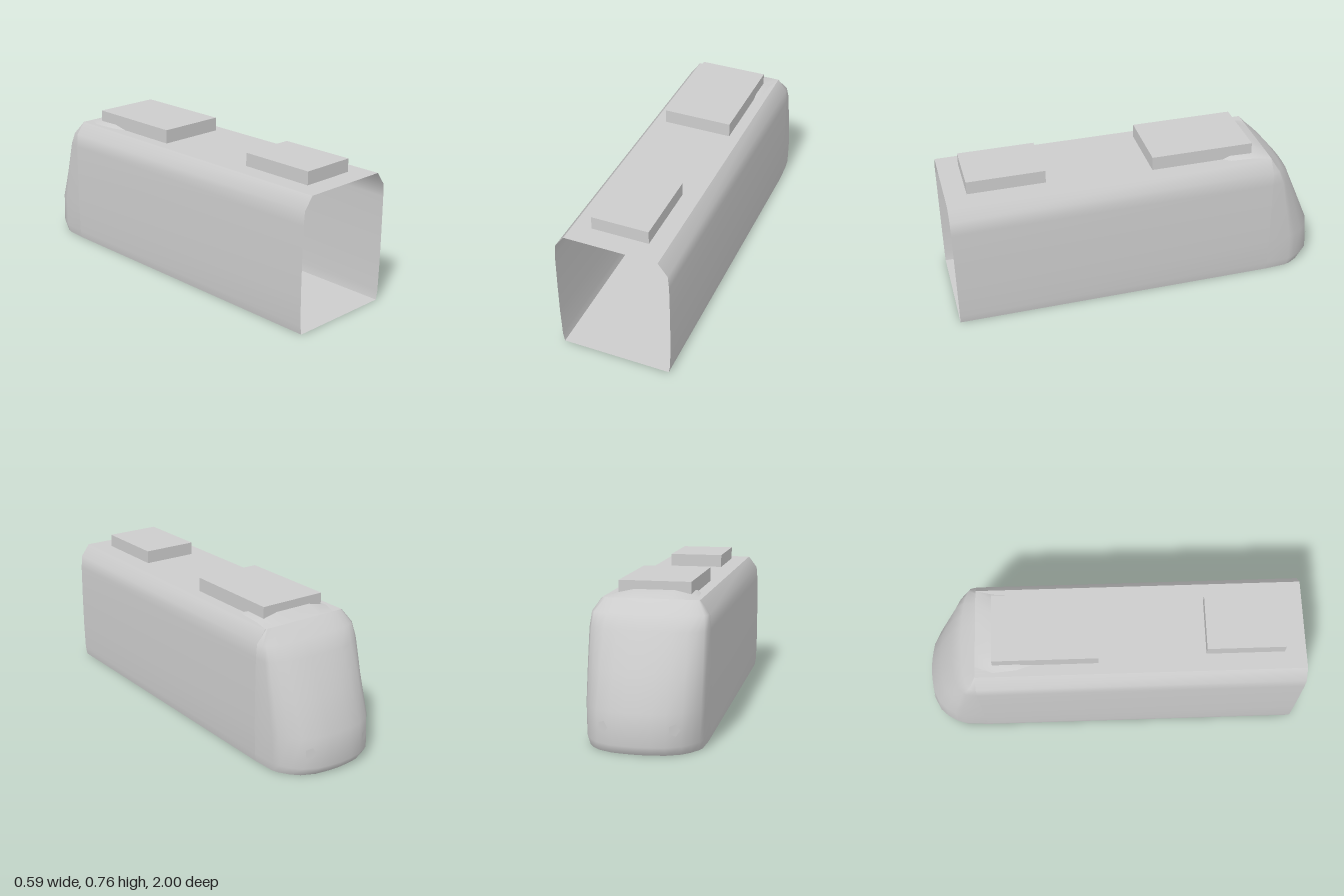
import * as THREE from 'three';

// Surface through rows of points, smooth shaded
function loft(rows) {
  const n = rows[0].length, index = [];
  for (let i = 0; i < rows.length - 1; i++) {
    for (let j = 0; j < n - 1; j++) {
      const a = i * n + j, b = a + 1, c = a + n, d = c + 1;
      index.push(a, b, d, a, d, c);
    }
  }
  const g = new THREE.BufferGeometry();
  g.setAttribute('position', new THREE.Float32BufferAttribute(rows.flat(2), 3));
  g.setIndex(index);
  g.computeVertexNormals();
  return g;
}

export function createModel() {
  const group = new THREE.Group();
  const grey = new THREE.MeshStandardMaterial({ color: 0xcccccc, side: THREE.DoubleSide });
  grey.name = 'light grey';
  const add = (name, geometry) => {
    const mesh = new THREE.Mesh(geometry, grey);
    mesh.name = name;
    group.add(mesh);
    return mesh;
  };

  const REAR = 1, JOIN = -0.69, ROOF = 0.684;
  // Height, half width, z of the nose on the centre line
  const levels = [
    [0, 0.282, -0.97], [0.045, 0.29, -1], [0.2, 0.294, -0.985], [0.37, 0.294, -0.91],
    [0.55, 0.292, -0.83], [0.62, 0.286, -0.77], [ROOF, 0.238, JOIN],
  ];

  // Side walls, open at the rear
  for (const s of [1, -1]) {
    const ends = s > 0 ? [REAR, JOIN] : [JOIN, REAR];
    add(s > 0 ? 'leftWall' : 'rightWall',
      loft(levels.map(([y, w]) => ends.map(z => [s * w, y, z]))));
  }

  // Flat roof
  add('roof', loft([REAR, JOIN].map(z => [[-0.238, ROOF, z], [0.238, ROOF, z]])));

  // Rounded, raked nose: width and depth fractions of its plan curve
  const half = [[1, 0], [0.975, 0.42], [0.93, 0.54], [0.83, 0.7], [0.69, 0.84], [0.45, 0.95], [0.22, 0.985]];
  const plan = [...half, [0, 1], ...half.map(([u, d]) => [-u, d]).reverse()];
  const noseRows = levels.map(([y, w, zc]) => plan.map(([u, d]) => [u * w, y, JOIN + d * (zc - JOIN)]));
  add('nose', loft(noseRows));

  // Floor follows the lower outline
  const outline = [[-0.282, REAR], [0.282, REAR], ...noseRows[0].map(p => [p[0], p[2]])];
  const floor = new THREE.ShapeGeometry(new THREE.Shape(outline.map(p => new THREE.Vector2(...p))));
  add('floor', floor.rotateX(Math.PI / 2));

  // Low fairing that runs from the nose under the roof unit
  const fairing = [
    [-0.4, [0.18, ROOF], [0.15, ROOF], [0.08, ROOF]],
    [-0.48, [0.205, ROOF], [0.18, 0.699], [0.1, 0.712]],
    [-0.6, [0.215, ROOF], [0.18, 0.696], [0.1, 0.714]],
    [JOIN, [0.238, ROOF], [0.18, ROOF], [0.1, ROOF]],
  ].map(([z, ...pts]) => [
    ...pts.map(([x, y]) => [-x, y, z]),
    ...pts.reverse().map(([x, y]) => [x, y, z]),
  ]);
  add('roofFairing', loft(fairing));

  // Roof units: half width, top, z range
  for (const [name, w, top, z0, z1] of [
    ['frontRoofUnit', 0.179, 0.756, -0.6, -0.06],
    ['rearRoofUnit', 0.146, 0.752, 0.49, 0.89],
  ]) {
    add(name, new THREE.BoxGeometry(2 * w, top - ROOF, z1 - z0))
      .position.set(0, (top + ROOF) / 2, (z0 + z1) / 2);
  }

  // Five-sided lamps set on the nose
  for (const s of [1, -1]) {
    const lamp = add(s > 0 ? 'leftLamp' : 'rightLamp', new THREE.CircleGeometry(0.03, 5));
    lamp.position.set(s * 0.169, 0.125, -0.965);
    lamp.lookAt(s * (0.169 + 0.44), 0.16, -0.965 - 0.9);
  }
  return group;
}
